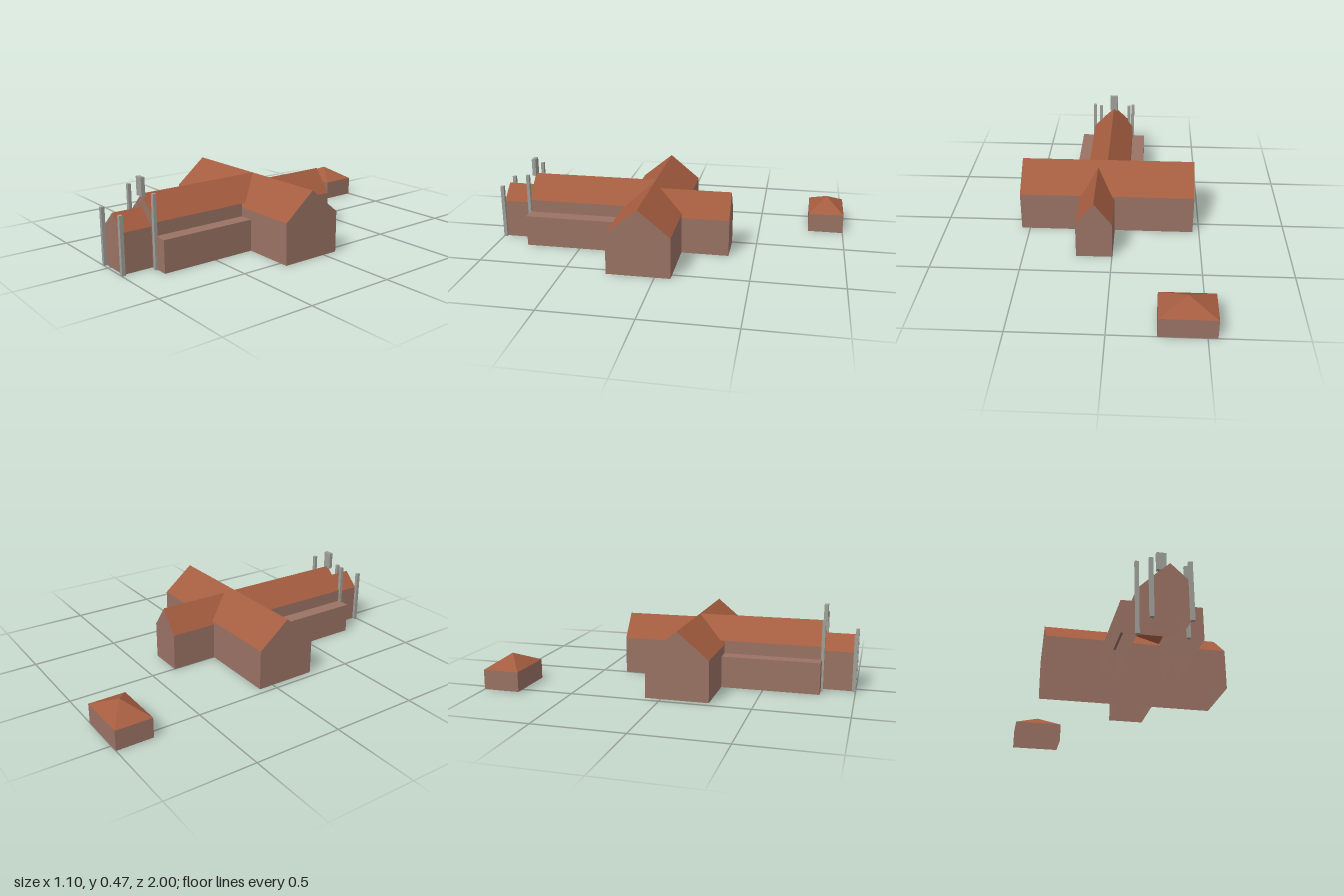
import * as THREE from 'three';

const mat = (name, color) => {
  const m = new THREE.MeshStandardMaterial({ color, side: THREE.DoubleSide });
  m.name = name;
  return m;
};

// Mesh made of flat convex polygons, corners counter-clockwise from outside
function panels(name, material, faces) {
  const pos = [];
  for (const f of faces)
    for (let i = 1; i < f.length - 1; i++) pos.push(...f[0], ...f[i], ...f[i + 1]);
  const g = new THREE.BufferGeometry();
  g.setAttribute('position', new THREE.Float32BufferAttribute(pos, 3));
  g.computeVertexNormals();
  const mesh = new THREE.Mesh(g, material);
  mesh.name = name;
  return mesh;
}

// Open-bottomed gabled block along local z; its gable end is at z1.
// The roof may run on past the wall start z0 to meet another roof:
// eaveZ and ridgeZ are its ends there, kink is an extra [x, y, z] on the valley.
function gabled(name, wall, roof, o) {
  const { w, eave, ridge, z0, z1, eaveZ = z0, ridgeZ = z0, kink, bothEnds } = o;
  const walls = [
    [[w, 0, z1], [w, 0, z0], [w, eave, z0], [w, eave, z1]],
    [[-w, 0, z0], [-w, 0, z1], [-w, eave, z1], [-w, eave, z0]],
    [[-w, 0, z1], [w, 0, z1], [w, eave, z1], [0, ridge, z1], [-w, eave, z1]],
  ];
  if (bothEnds)
    walls.push([[w, 0, z0], [-w, 0, z0], [-w, eave, z0], [0, ridge, z0], [w, eave, z0]]);
  const right = [[0, ridge, z1], [w, eave, z1], [w, eave, eaveZ]];
  if (kink) right.push(kink);
  right.push([0, ridge, ridgeZ]);
  const left = right.map(([x, y, z]) => [-x, y, z]).reverse();
  const group = new THREE.Group();
  group.name = name;
  group.add(panels(name + 'Walls', wall, walls), panels(name + 'Roof', roof, [right, left]));
  return group;
}

export function createModel() {
  const wall = mat('brick wall', 0x9a7264);
  const roof = mat('tile roof', 0xa55d40);
  const stone = mat('grey stone', 0x9fa09a);
  const model = new THREE.Group();
  model.name = 'church';

  // Transept, lying across x
  const transept = gabled('transept', wall, roof,
    { w: 0.176, eave: 0.23, ridge: 0.375, z0: -0.505, z1: 0.505, bothEnds: true });
  transept.rotation.y = Math.PI / 2;
  transept.position.set(0.043, 0, 0.089);

  // Nave and porch towards the front
  const cx = 0.045;
  const nave = gabled('nave', wall, roof,
    { w: 0.126, eave: 0.25, ridge: 0.375, z0: 0.265, z1: 0.813, eaveZ: 0.241, ridgeZ: 0.089 });
  nave.position.x = cx;
  const porch = gabled('porch', wall, roof,
    { w: 0.089, eave: 0.22, ridge: 0.305, z0: 0.813, z1: 0.983 });
  porch.position.x = cx;

  // Choir towards the back
  const choir = gabled('choir', wall, roof,
    { w: 0.102, eave: 0.212, ridge: 0.345, z0: 0.087, z1: 0.356, ridgeZ: -0.053, kink: [0.088, 0.23, 0.087] });
  choir.rotation.y = Math.PI;
  choir.position.x = 0.1;
  model.add(transept, nave, porch, choir);

  // Flat-topped aisles beside the nave
  const a = 0.126, b = 0.206, h = 0.178, z0 = 0.265, z1 = 0.813;
  const aisleFaces = [
    [[a, h, z1], [b, h, z1], [b, h, z0], [a, h, z0]],
    [[b, 0, z1], [b, 0, z0], [b, h, z0], [b, h, z1]],
    [[a, 0, z1], [b, 0, z1], [b, h, z1], [a, h, z1]],
  ];
  const mirrored = aisleFaces.map(f => f.map(([x, y, z]) => [-x, y, z]).reverse());
  const leftAisle = panels('leftAisle', wall, aisleFaces);
  const rightAisle = panels('rightAisle', wall, mirrored);
  leftAisle.position.x = rightAisle.position.x = cx;
  model.add(leftAisle, rightAisle);

  // Stone pillars and the block over the nave gable
  const block = (name, x, y0, y1, z, w, d) => {
    const m = new THREE.Mesh(new THREE.BoxGeometry(w, y1 - y0, d), stone);
    m.name = name;
    m.position.set(x, (y0 + y1) / 2, z);
    model.add(m);
  };
  for (const [side, s] of [['left', 1], ['right', -1]]) {
    block(side + 'NavePillar', cx + s * 0.126, 0, 0.402, 0.816, 0.02, 0.018);
    block(side + 'PorchPillar', cx + s * 0.096, 0, 0.315, 0.99, 0.02, 0.02);
  }
  block('gableBlock', cx, 0.365, 0.465, 0.816, 0.05, 0.022);

  // Detached outbuilding with a pyramid roof
  const hw = 0.148, hd = 0.103, top = 0.112;
  const corners = [[-hw, hd], [hw, hd], [hw, -hd], [-hw, -hd]];
  const hutWalls = [], hutRoof = [];
  corners.forEach(([x, z], i) => {
    const [x2, z2] = corners[(i + 1) % 4];
    hutWalls.push([[x, 0, z], [x2, 0, z2], [x2, top, z2], [x, top, z]]);
    hutRoof.push([[x, top, z], [x2, top, z2], [0, 0.181, 0]]);
  });
  const hut = new THREE.Group();
  hut.name = 'outbuilding';
  hut.add(panels('outbuildingWalls', wall, hutWalls), panels('outbuildingRoof', roof, hutRoof));
  hut.position.set(-0.402, 0, -0.897);
  model.add(hut);

  return model;
}
